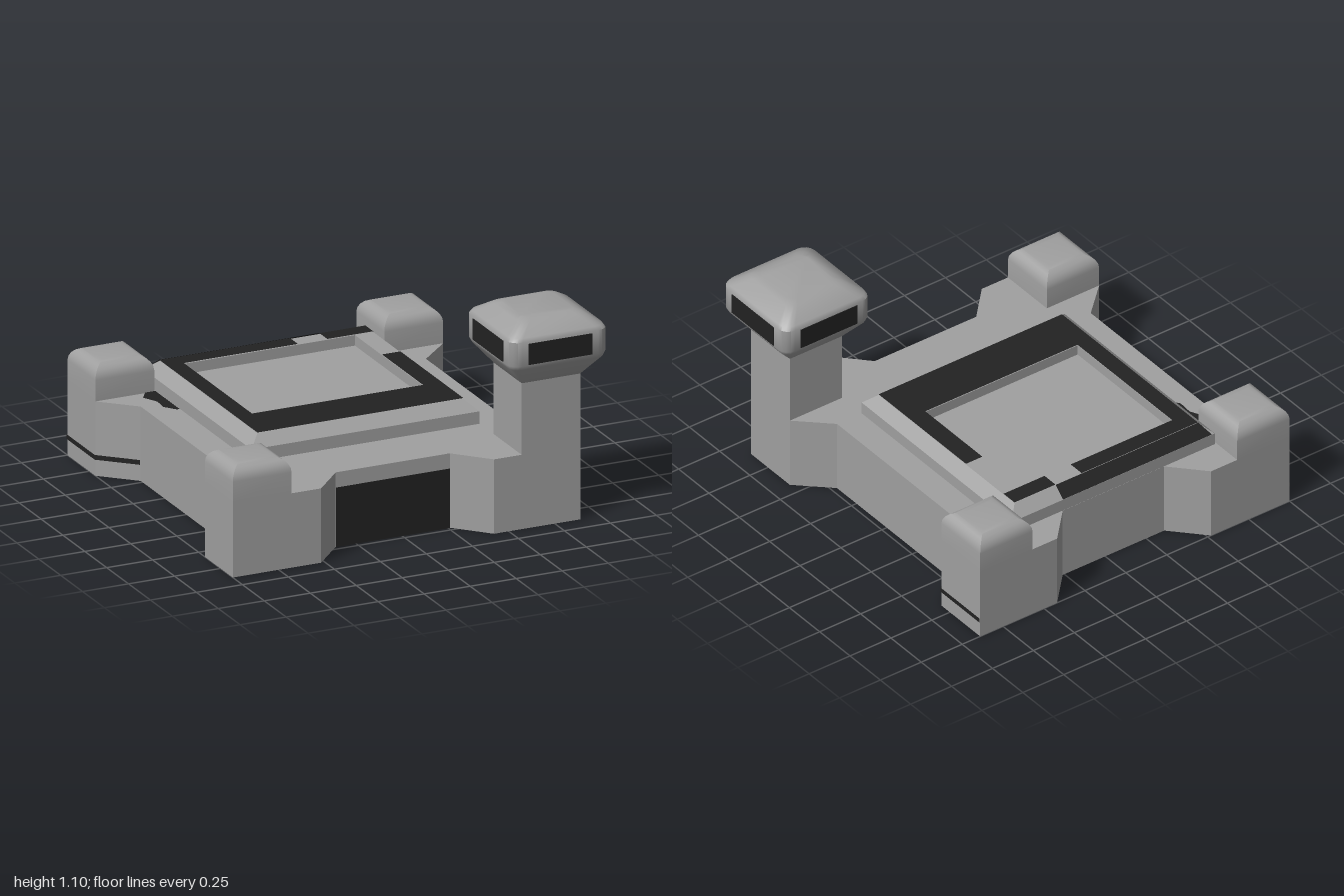
import * as THREE from 'three';
import { toCreasedNormals } from 'three/addons/utils/BufferGeometryUtils.js';

const stone = new THREE.MeshStandardMaterial({ color: 0xa0a0a0, side: THREE.DoubleSide });
stone.name = 'stone grey';
const black = new THREE.MeshStandardMaterial({ color: 0x222222, side: THREE.DoubleSide });
black.name = 'black';

const rect = (x0, x1, z0, z1) => [[x0, z1], [x1, z1], [x1, z0], [x0, z0]];

// Rounded square cross-section, same turning direction as rect
function roundedSquare(cx, cz, half, r, steps = 4) {
  const pts = [];
  [[-1, 1, Math.PI], [1, 1, 1.5 * Math.PI], [1, -1, 0], [-1, -1, 0.5 * Math.PI]].forEach(([sx, sz, start]) => {
    for (let i = 0; i <= steps; i++) {
      const a = start + (i / steps) * Math.PI / 2;
      pts.push([cx + sx * (half - r) + r * Math.cos(a), cz + sz * (half - r) - r * Math.sin(a)]);
    }
  });
  return pts;
}

// Joins stacked cross-sections [points, y]; optionally closes the last one
function loft(sections, cap = false, crease = 0.6) {
  const pos = [];
  const put = ([pts, y], i) => { const p = pts[i % pts.length]; pos.push(p[0], y, p[1]); };
  for (let k = 0; k + 1 < sections.length; k++) {
    const lo = sections[k], hi = sections[k + 1];
    for (let i = 0; i < lo[0].length; i++) {
      put(lo, i); put(lo, i + 1); put(hi, i + 1);
      put(lo, i); put(hi, i + 1); put(hi, i);
    }
  }
  const last = sections[sections.length - 1];
  if (cap) for (let i = 1; i + 1 < last[0].length; i++) { put(last, 0); put(last, i); put(last, i + 1); }
  const g = new THREE.BufferGeometry();
  g.setAttribute('position', new THREE.Float32BufferAttribute(pos, 3));
  return toCreasedNormals(g, crease);
}

// Flat horizontal sheet, optionally with a hole
function sheet(points, y, hole) {
  const vec = (l) => l.map(([x, z]) => new THREE.Vector2(x, -z));
  const shape = new THREE.Shape(vec(points));
  if (hole) shape.holes.push(new THREE.Path(vec(hole)));
  return new THREE.ShapeGeometry(shape).rotateX(-Math.PI / 2).translate(0, y, 0);
}

// Flat four-cornered face, corners anticlockwise
function quad(a, b, c, d) {
  const g = new THREE.BufferGeometry();
  g.setAttribute('position', new THREE.Float32BufferAttribute([a, b, c, a, c, d].flat(), 3));
  g.computeVertexNormals();
  return g;
}

export function createModel() {
  const model = new THREE.Group();
  model.name = 'fort';
  const add = (name, geometry, material = stone) => {
    const m = new THREE.Mesh(geometry, material);
    m.name = name;
    model.add(m);
  };

  // Hollow body with four corner bastions
  const outline = [
    [-1, 0.89], [-0.52, 0.89], [-0.36, 0.72], [0.26, 0.72], [0.42, 0.89],
    [0.89, 0.89], [0.89, 0.57], [0.72, 0.41], [0.72, -0.52], [0.89, -0.68],
    [0.89, -1], [0.42, -1], [0.26, -0.83], [-0.36, -0.83], [-0.52, -1],
    [-1, -1], [-1, -0.68], [-0.83, -0.52], [-0.83, 0.41], [-1, 0.57],
  ];
  const padBase = rect(-0.67, 0.57, -0.829, 0.41);
  add('outerWalls', loft([[outline, 0], [outline, 0.39]]));
  add('deck', sheet(outline, 0.39, padBase));
  add('footing', sheet(outline, 0, rect(-0.68, 0.57, -0.68, 0.57)));

  // Raised roof pad with sunken centre
  const pit = rect(-0.52, 0.41, -0.68, 0.1);
  add('roofPad', loft([
    [padBase, 0.39], [padBase, 0.455], [rect(-0.61, 0.51, -0.77, 0.35), 0.51], [pit, 0.51], [pit, 0.455],
  ], true));

  // Black border of the pad, broken at the back right
  [
    [-0.61, 0.51, 0.1, 0.35], [-0.61, -0.52, -0.68, 0.1], [-0.61, 0.1, -0.77, -0.68],
    [0.26, 0.51, -0.77, -0.68], [0.41, 0.51, -0.37, 0.1],
  ].forEach((r) => add('padBorder', sheet(rect(...r), 0.514), black));
  add('padBackEdge', quad([0.26, 0.459, -0.832], [-0.65, 0.459, -0.832], [-0.61, 0.514, -0.773], [0.26, 0.514, -0.773]), black);

  // Bastion tops with softly rounded upper edges
  [[-0.84, 0.73], [-0.84, -0.84], [0.73, -0.84]].forEach(([cx, cz]) => {
    const square = (h) => rect(cx - h, cx + h, cz - h, cz + h);
    const sections = [[square(0.16), 0.39]];
    for (let i = 0; i <= 5; i++) {
      const a = (i / 5) * Math.PI / 2;
      sections.push([square(0.085 + 0.075 * Math.cos(a)), 0.5 + 0.075 * Math.sin(a)]);
    }
    add('bastionTop', loft(sections, true));
  });

  // Watchtower column and flared head
  const c = 0.73;
  add('towerColumn', loft([[rect(c - 0.16, c + 0.16, c - 0.16, c + 0.16), 0.39], [rect(c - 0.16, c + 0.16, c - 0.16, c + 0.16), 0.77]]));
  add('towerHead', loft([
    [0.16, 0.004, 0.765], [0.255, 0.05, 0.873], [0.266, 0.06, 0.895], [0.266, 0.06, 1.02],
    [0.255, 0.06, 1.038], [0.175, 0.05, 1.09], [0.14, 0.04, 1.1],
  ].map(([h, r, y]) => [roundedSquare(c, c, h, r), y]), true, 0.7));

  // One window on each side of the head
  for (let i = 0; i < 4; i++) {
    const g = new THREE.BoxGeometry(0.345, 0.11, 0.008).translate(0, 0.955, 0.266);
    add('towerWindow', g.rotateY(i * Math.PI / 2).translate(c, 0, c), black);
  }

  // Front gate
  const gate = new THREE.PlaneGeometry(0.62, 0.312).translate(-0.05, 0.156, 0.724);
  add('gate', gate, black);
  add('gateInside', gate.clone().translate(0, 0, -0.008), black);

  // Thin dark stripes on the sides of the rear bastions
  [1, -1].forEach((s) => {
    const at = (x) => -0.055 + s * (x + 0.004);
    const stripe = [[at(0.945), -1], [at(0.945), -0.68], [at(0.775), -0.52]];
    for (let i = 0; i < 2; i++) {
      const [p, q] = s > 0 ? [stripe[i + 1], stripe[i]] : [stripe[i], stripe[i + 1]];
      add('bastionStripe', quad([p[0], 0.085, p[1]], [q[0], 0.085, q[1]], [q[0], 0.11, q[1]], [p[0], 0.11, p[1]]), black);
    }
  });

  // Dark worn patch on the deck
  add('deckPatch', sheet([
    [-0.69, -0.4], [-0.675, -0.4], [-0.675, -0.68], [-0.73, -0.68], [-0.77, -0.62], [-0.73, -0.54], [-0.735, -0.46],
  ], 0.393), black);

  return model;
}
